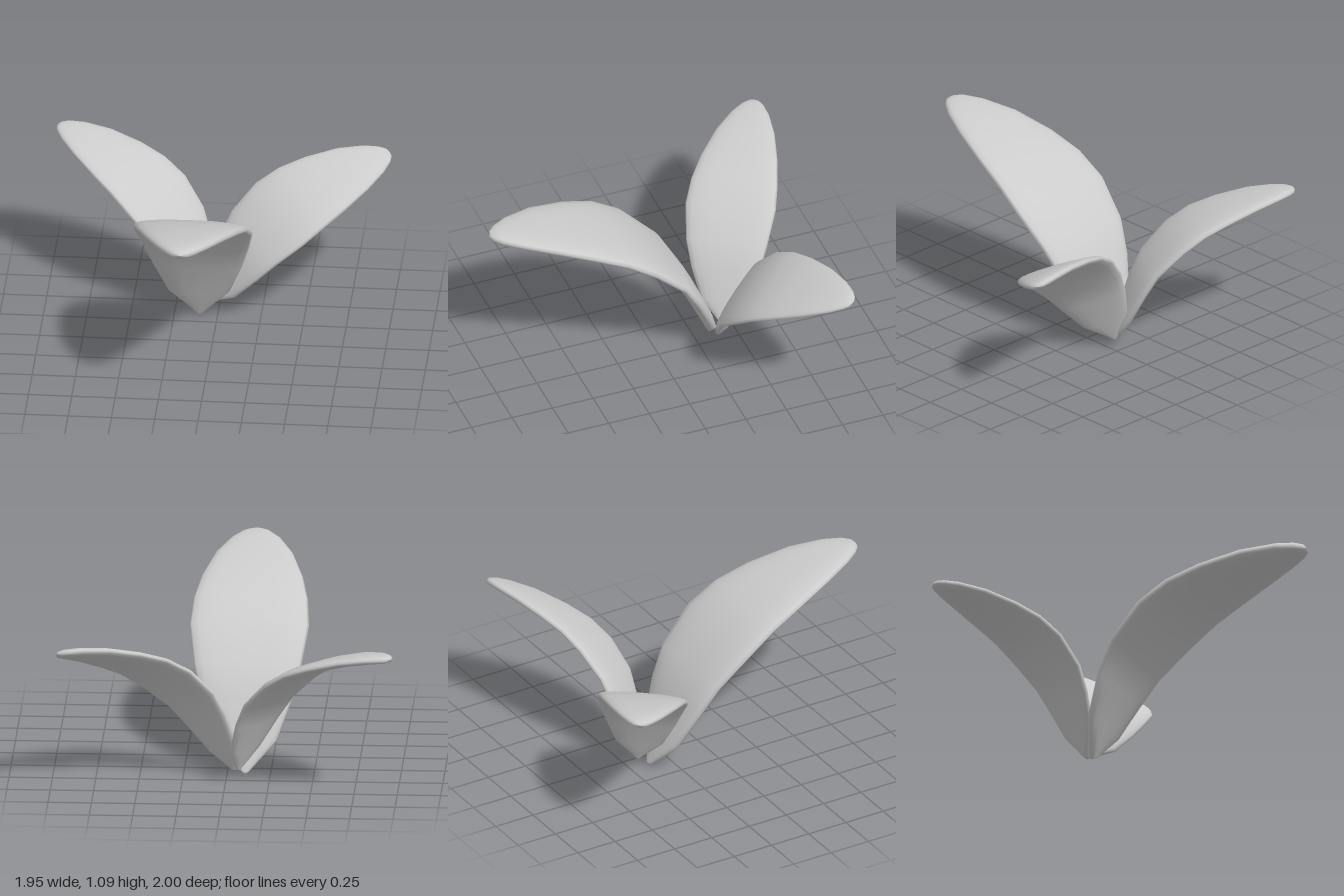
import * as THREE from 'three';

// Petal stations from base to tip: [along chord, rise above chord, half width, half thickness]
const STATIONS = [
  [-0.012, -0.007, 0, 0],
  [0, 0, 0.02, 0.028],
  [0.159, 0.092, 0.18, 0.038],
  [0.373, 0.204, 0.262, 0.042],
  [0.556, 0.278, 0.31, 0.043],
  [0.82, 0.308, 0.345, 0.043],
  [1.022, 0.291, 0.33, 0.043],
  [1.218, 0.234, 0.293, 0.042],
  [1.443, 0.148, 0.225, 0.04],
  [1.606, 0.066, 0.145, 0.036],
  [1.684, 0.019, 0.085, 0.03],
  [1.716, -0.002, 0.045, 0.02],
  [1.728, -0.009, 0, 0],
];
const SIDES = 20;

// Rounded, flattened sections lofted along a bowed spine (x = width, y = chord, z = underside)
function petalGeometry() {
  const positions = [], indices = [];
  const bulge = (v) => Math.sign(v) * Math.abs(v) ** 0.8;
  STATIONS.forEach(([along, rise, width, thick], i) => {
    const a = STATIONS[Math.max(i - 1, 0)];
    const b = STATIONS[Math.min(i + 1, STATIONS.length - 1)];
    const da = b[0] - a[0], dr = b[1] - a[1], len = Math.hypot(da, dr);
    for (let j = 0; j < SIDES; j++) {
      const angle = (j / SIDES) * Math.PI * 2;
      const t = thick * bulge(Math.sin(angle));
      positions.push(width * bulge(Math.cos(angle)), along + (t * dr) / len, -rise + (t * da) / len);
      if (i < STATIONS.length - 1) {
        const p = i * SIDES + j, q = i * SIDES + ((j + 1) % SIDES);
        indices.push(p, p + SIDES, q, q, p + SIDES, q + SIDES);
      }
    }
  });
  const geometry = new THREE.BufferGeometry();
  geometry.setAttribute('position', new THREE.Float32BufferAttribute(positions, 3));
  geometry.setIndex(indices);
  geometry.computeVertexNormals();
  return geometry;
}

export function createModel() {
  const group = new THREE.Group();
  group.name = 'flower';
  const geometry = petalGeometry();
  const material = new THREE.MeshStandardMaterial({ color: 0xcccccc });

  // Each petal: base point, chord direction to the tip, width direction, scale
  const petals = [
    ['frontPetal', [-0.105, 0.03, -0.37], [0, 1.06, 1.37], [1, 0, 0], 1],
    ['leftPetal', [-0.05, 0.07, -0.43], [1.0, 0.79, -0.4], [-0.289, 0.179, -0.364], 0.775],
    ['rightPetal', [-0.06, 0.07, -0.43], [-0.9, 0.82, -0.53], [-0.28, -0.05, 0.45], 0.775],
  ];
  for (const [name, base, chord, width, scale] of petals) {
    const y = new THREE.Vector3(...chord).normalize();
    const z = new THREE.Vector3(...width).cross(y).normalize();
    const x = new THREE.Vector3().crossVectors(y, z);
    const petal = new THREE.Mesh(geometry, material);
    petal.name = name;
    petal.quaternion.setFromRotationMatrix(new THREE.Matrix4().makeBasis(x, y, z));
    petal.position.set(...base);
    petal.scale.setScalar(scale);
    group.add(petal);
  }
  return group;
}
